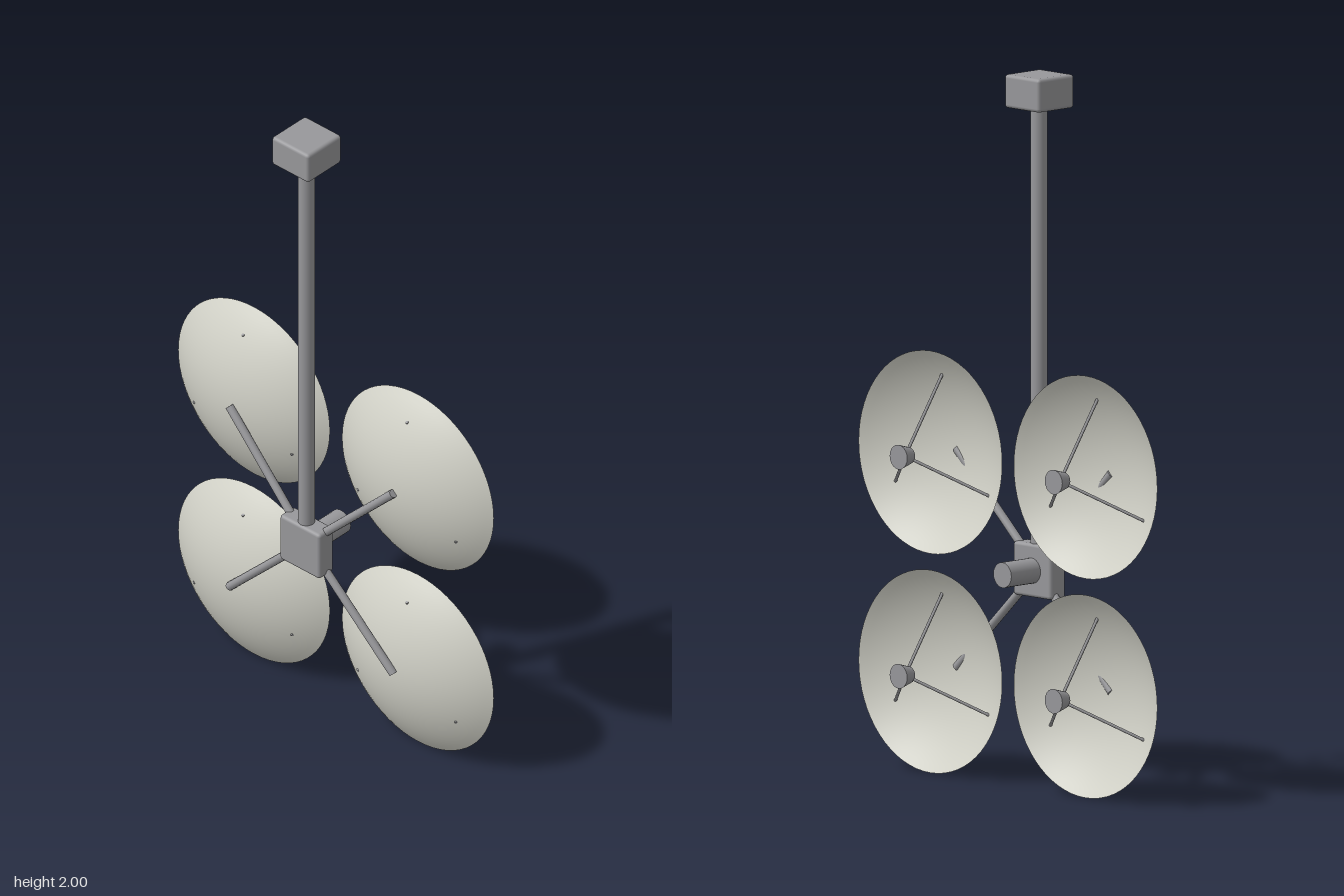
import * as THREE from 'three';
import { RoundedBoxGeometry } from 'three/addons/geometries/RoundedBoxGeometry.js';

const HUB_Y = 0.599, MAST_Z = 0.087, SPACING = 0.31;
const DISH_R = 0.287, DISH_APEX = 0.061, DISH_RIM = -0.035;

export function createModel() {
  const metal = new THREE.MeshStandardMaterial({ color: 0x98989b });
  metal.name = 'grey metal';
  const shell = new THREE.MeshStandardMaterial({ color: 0xd2d2c8, side: THREE.DoubleSide });
  shell.name = 'pale dish';

  const model = new THREE.Group();
  model.name = 'dishArray';

  const add = (parent, name, geometry, material, x = 0, y = 0, z = 0) => {
    const mesh = new THREE.Mesh(geometry, material);
    mesh.name = name;
    mesh.position.set(x, y, z);
    parent.add(mesh);
    return mesh;
  };
  // Round bar between two points
  const bar = (parent, name, a, b, radius, sides) => {
    const dir = b.clone().sub(a);
    const mesh = add(parent, name, new THREE.CylinderGeometry(radius, radius, dir.length(), sides), metal);
    mesh.position.copy(a).add(b).multiplyScalar(0.5);
    mesh.quaternion.setFromUnitVectors(new THREE.Vector3(0, 1, 0), dir.normalize());
    return mesh;
  };
  const v = (x, y, z) => new THREE.Vector3(x, y, z);

  // Mount, mast, hub and rear stub
  add(model, 'topMount', new RoundedBoxGeometry(0.14, 0.095, 0.14, 2, 0.01), metal, 0, 1.9525, MAST_Z);
  bar(model, 'mast', v(0, HUB_Y, MAST_Z), v(0, 1.93, MAST_Z), 0.024, 20);
  add(model, 'hub', new RoundedBoxGeometry(0.152, 0.152, 0.06, 2, 0.01), metal, 0, HUB_Y, MAST_Z);
  bar(model, 'rearStub', v(0, HUB_Y, MAST_Z), v(0, HUB_Y, -0.057), 0.036, 24);

  // Shallow spherical cap, opening towards -z
  const depth = DISH_APEX - DISH_RIM;
  const sphereR = (DISH_R ** 2 + depth ** 2) / (2 * depth);
  const sag = (r) => sphereR - Math.sqrt(sphereR ** 2 - r ** 2);
  const profile = [];
  for (let i = 0; i <= 14; i++) {
    const r = (DISH_R * i) / 14;
    profile.push(new THREE.Vector2(r, sag(r)));
  }
  const dishGeometry = new THREE.LatheGeometry(profile, 64).rotateX(-Math.PI / 2);
  const hornGeometry = new THREE.CylinderGeometry(0.035, 0.023, 0.043, 20).rotateX(-Math.PI / 2);

  for (const sx of [-1, 1]) for (const sy of [-1, 1]) {
    const unit = new THREE.Group();
    unit.name = `${sy > 0 ? 'upper' : 'lower'}${sx > 0 ? 'Left' : 'Right'}Dish`;
    unit.position.set(sx * SPACING, HUB_Y + sy * SPACING, 0);
    model.add(unit);

    add(unit, 'reflector', dishGeometry, shell, 0, 0, DISH_APEX);
    add(unit, 'feedHorn', hornGeometry, metal, 0, 0, -0.1385);

    // Three feed struts piercing the reflector
    for (let k = 0; k < 3; k++) {
      const a = Math.PI / 2 + (k * Math.PI * 2) / 3;
      const c = Math.cos(a), s = Math.sin(a), r = 0.216;
      bar(unit, 'feedStrut', v(c * 0.012, s * 0.012, -0.126),
        v(c * r, s * r, DISH_APEX - sag(r) + 0.002), 0.0045, 8);
    }

    // Support arm from the hub to the back of the reflector
    bar(model, 'arm', v(0, HUB_Y, 0.083),
      v(sx * SPACING, HUB_Y + sy * SPACING, 0.067), 0.0125, 12);
  }
  return model;
}
